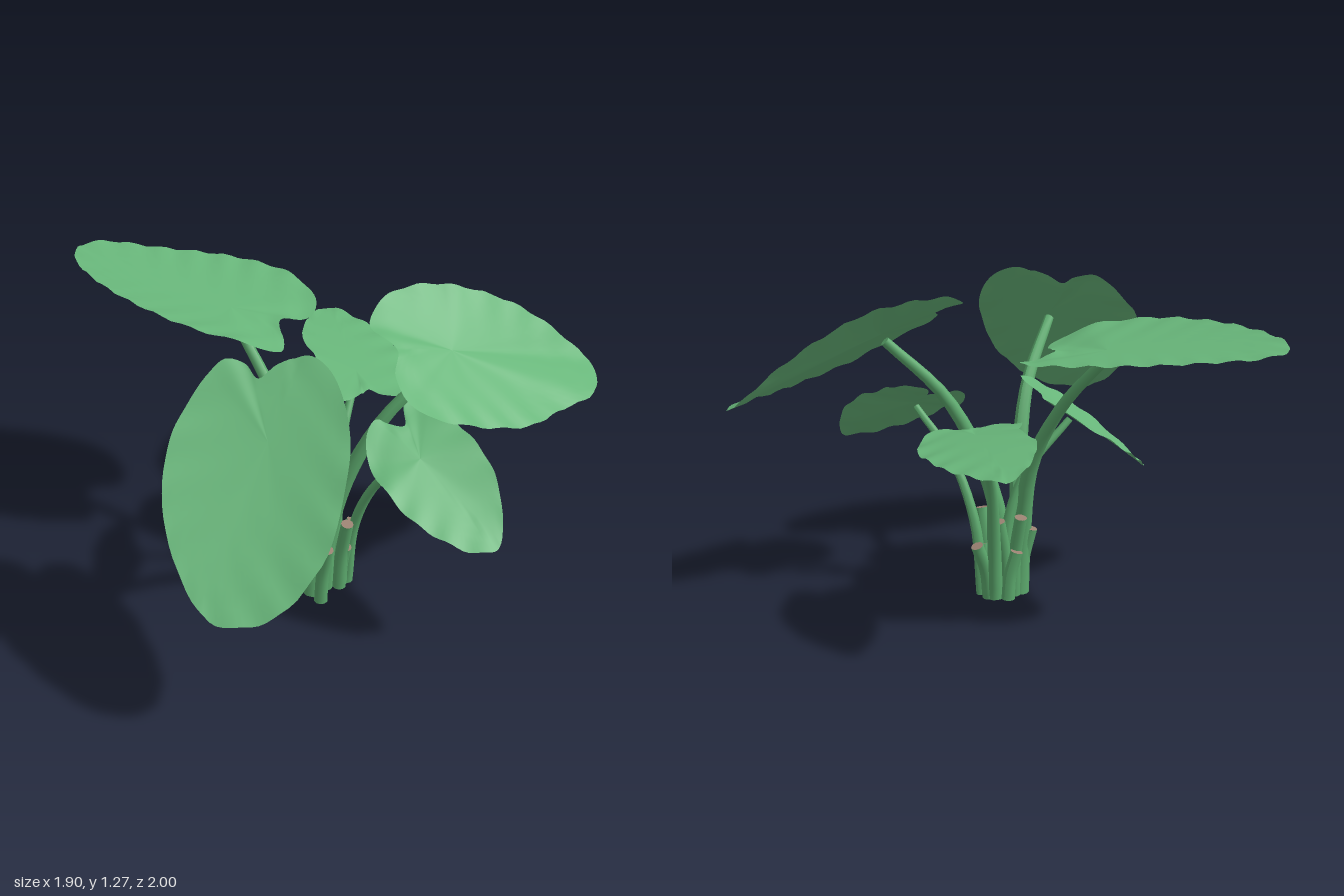
import * as THREE from 'three';

const leafGreen = new THREE.MeshStandardMaterial({ color: 0x68b67a, side: THREE.DoubleSide });
leafGreen.name = 'leaf green';
const stalkGreen = new THREE.MeshStandardMaterial({ color: 0x5ca96d });
stalkGreen.name = 'stalk green';
const cutBrown = new THREE.MeshStandardMaterial({ color: 0x9a8272 });
cutBrown.name = 'cut stem brown';

const V = (p) => new THREE.Vector3(...p);

function addMesh(parent, name, geometry, material) {
  const mesh = new THREE.Mesh(geometry, material);
  mesh.name = name;
  parent.add(mesh);
  return mesh;
}

// Tapered stem along a smooth path, closed by a disc at each end
function addStem(parent, name, points, r0, r1, endMaterial) {
  const curve = new THREE.CatmullRomCurve3(points.map(V));
  const rings = 16, sides = 10;
  const geometry = new THREE.TubeGeometry(curve, rings, 1, sides);
  const pos = geometry.attributes.position;
  const v = new THREE.Vector3();
  for (let i = 0; i <= rings; i++) {
    const c = curve.getPointAt(i / rings);
    const r = THREE.MathUtils.lerp(r0, r1, i / rings);
    for (let j = 0; j <= sides; j++) {
      const k = i * (sides + 1) + j;
      v.fromBufferAttribute(pos, k).sub(c).multiplyScalar(r).add(c);
      pos.setXYZ(k, v.x, Math.max(v.y, 0), v.z);
    }
  }
  geometry.computeVertexNormals();
  const group = new THREE.Group();
  group.name = name;
  parent.add(group);
  addMesh(group, name + 'Tube', geometry, stalkGreen);
  const base = addMesh(group, name + 'Base', new THREE.CircleGeometry(r0, sides), stalkGreen);
  base.position.copy(curve.getPointAt(0));
  base.rotation.x = Math.PI / 2;
  const end = addMesh(group, name + 'End', new THREE.CircleGeometry(r1, sides), endMaterial);
  end.position.copy(curve.getPointAt(1));
  end.lookAt(end.position.clone().add(curve.getTangentAt(1)));
}

// Heart-shaped blade: a plan outline [x, z, optional lift] filled with rings around
// the stalk joint, tilted by slopes along x and z, cupped across the midrib, drooping at the tip
function addLeaf(parent, name, joint, outline, { slope, cup = 0, droop = 0, wave = 0.005 }) {
  const [cx, cy, cz] = joint;
  const far = ([x, z]) => Math.hypot(x - cx, z - cz);
  const tip = outline.reduce((a, b) => (far(b) > far(a) ? b : a));
  const dx = (tip[0] - cx) / far(tip), dz = (tip[1] - cz) / far(tip);
  const rim = new THREE.CatmullRomCurve3(outline.map(([x, z, lift = 0]) => V([x, lift, z])), true);
  const rings = 10, spokes = 96;
  const pos = [], index = [];
  for (let k = 0; k <= rings; k++) {
    const t = k / rings;
    for (let j = 0; j < spokes; j++) {
      const p = rim.getPoint(j / spokes);
      const x = (p.x - cx) * t, z = (p.z - cz) * t;
      const along = x * dx + z * dz, across = x * dz - z * dx;
      const ruffle = wave * t ** 3 * Math.sin(along * 44 - Math.abs(across) * 22 + Math.sign(across));
      const y = cy + slope[0] * x + slope[1] * z + cup * across ** 2
        - droop * Math.max(along, 0) ** 2 + p.y * t ** 1.2 + ruffle;
      pos.push(cx + x, y, cz + z);
      if (k === rings) continue;
      const a = k * spokes + j, b = k * spokes + (j + 1) % spokes;
      if (k > 0) index.push(a, b, a + spokes);
      index.push(b, b + spokes, a + spokes);
    }
  }
  // keep the upper face as the front whichever way the outline runs
  const area = outline.reduce((s, [x, z], i) => {
    const [nx, nz] = outline[(i + 1) % outline.length];
    return s + x * nz - nx * z;
  }, 0);
  if (area > 0) index.reverse();
  const geometry = new THREE.BufferGeometry();
  geometry.setAttribute('position', new THREE.Float32BufferAttribute(pos, 3));
  geometry.setIndex(index);
  geometry.computeVertexNormals();
  addMesh(parent, name, geometry, leafGreen);
}

export function createModel() {
  const plant = new THREE.Group();
  plant.name = 'leafyPlant';

  // Leaf blades
  addLeaf(plant, 'backLeaf', [0.1, 1.085, -0.3], [
    [-0.01, -1], [-0.11, -0.93], [-0.19, -0.74], [-0.22, -0.5], [-0.19, -0.26], [-0.1, -0.08],
    [0.01, 0.015, -0.025], [0.07, -0.01, -0.02], [0.17, -0.11], [0.29, -0.055, -0.01], [0.38, -0.1],
    [0.44, -0.26], [0.41, -0.42], [0.34, -0.58], [0.21, -0.79], [0.09, -0.965],
  ], { slope: [-0.1, -0.09], cup: 0.4 });

  addLeaf(plant, 'frontLeftLeaf', [0.38, 1.085, 0.55], [
    [0.18, 0.31, -0.035], [0.27, 0.28, -0.015], [0.38, 0.295, 0.015], [0.505, 0.36, 0.05],
    [0.61, 0.45, 0.075], [0.77, 0.575, 0.055], [0.875, 0.69, 0.015], [0.945, 0.81, -0.035],
    [0.9, 0.89, -0.015], [0.785, 0.94, 0.005], [0.61, 0.91, -0.01], [0.425, 0.89, -0.01],
    [0.27, 0.82, -0.015], [0.135, 0.745, -0.005], [0.045, 0.665, -0.005], [0.035, 0.585, -0.015],
    [0.08, 0.505, -0.01], [0.175, 0.445, -0.01], [0.165, 0.38, -0.015],
  ], { slope: [-0.02, -0.62] });

  addLeaf(plant, 'rightLeaf', [-0.47, 1.035, 0.35], [
    [-0.685, 0.06, 0.015], [-0.565, 0.04, 0.01], [-0.45, 0.055, 0.01], [-0.385, 0.08, 0.015],
    [-0.35, 0.145], [-0.357, 0.21], [-0.29, 0.25], [-0.215, 0.335], [-0.21, 0.425], [-0.26, 0.53],
    [-0.34, 0.62], [-0.475, 0.69], [-0.605, 0.73], [-0.79, 0.69], [-0.895, 0.6, 0.01],
    [-0.955, 0.48, 0.02], [-0.925, 0.32, 0.03], [-0.82, 0.15, 0.025],
  ], { slope: [0.87, -0.38], cup: 0.2 });

  addLeaf(plant, 'frontLowLeaf', [0.13, 0.745, 0.6], [
    [0.135, 0.385, -0.03], [0.065, 0.395, -0.03], [-0.01, 0.465, -0.03], [-0.055, 0.585], [-0.065, 0.69],
    [-0.04, 0.82], [0.015, 0.94], [0.09, 0.995], [0.175, 0.955, 0.01], [0.265, 0.85, 0.04],
    [0.295, 0.75, 0.05], [0.315, 0.62, 0.03], [0.35, 0.5], [0.33, 0.43, -0.03], [0.26, 0.425, -0.03],
    [0.19, 0.48, -0.02],
  ], { slope: [0.38, -0.5] });

  addLeaf(plant, 'leftLowLeaf', [0.43, 0.775, 0.07], [
    [0.785, -0.325], [0.705, -0.34], [0.585, -0.305], [0.45, -0.22], [0.36, -0.08], [0.255, -0.02, -0.015],
    [0.22, 0.055, -0.025], [0.24, 0.135, -0.025], [0.32, 0.17, -0.015], [0.37, 0.18], [0.38, 0.24],
    [0.425, 0.285], [0.53, 0.255], [0.64, 0.18], [0.705, 0.08], [0.765, -0.05], [0.79, -0.21],
  ], { slope: [-0.1, -0.15], droop: 0.15 });

  addLeaf(plant, 'rightLowLeaf', [-0.16, 0.715, 0.04], [
    [-0.53, -0.01, 0.02], [-0.515, -0.08], [-0.42, -0.14], [-0.315, -0.18], [-0.21, -0.2], [-0.09, -0.17],
    [0.01, -0.1], [0.04, -0.02], [0.02, 0.03], [-0.035, 0.1, 0.01], [-0.06, 0.2, 0.03],
    [-0.115, 0.245, 0.04], [-0.24, 0.26, 0.05], [-0.35, 0.23, 0.06], [-0.43, 0.16, 0.055],
    [-0.48, 0.08, 0.045],
  ], { slope: [0.58, 0.39], droop: 0.2 });

  // Leaf stalks: path from the ground to the joint under each blade
  const stalks = [
    ['backStalk', [[0.03, 0, 0.16], [0.02, 0.25, 0.15], [0.04, 0.55, 0.09], [0.06, 0.82, -0.07], [0.1, 1.065, -0.31]], 0.04, 0.018],
    ['frontLeftStalk', [[0.04, 0, 0.22], [0.05, 0.25, 0.23], [0.1, 0.55, 0.29], [0.2, 0.82, 0.39], [0.37, 1.055, 0.545]], 0.04, 0.02],
    ['rightStalk', [[-0.01, 0, 0.21], [-0.02, 0.28, 0.2], [-0.09, 0.55, 0.24], [-0.22, 0.8, 0.29], [-0.46, 1.01, 0.35]], 0.045, 0.02],
    ['frontLowStalk', [[0.13, 0, 0.27], [0.135, 0.3, 0.3], [0.135, 0.55, 0.41], [0.13, 0.73, 0.59]], 0.025, 0.014],
    ['leftLowStalk', [[0.14, 0, 0.2], [0.17, 0.25, 0.18], [0.26, 0.54, 0.13], [0.43, 0.755, 0.07]], 0.032, 0.014],
    ['rightLowStalk', [[0.09, 0, 0.18], [0.08, 0.28, 0.18], [0.01, 0.5, 0.14], [-0.155, 0.7, 0.04]], 0.028, 0.014],
  ];
  for (const [name, path, r0, r1] of stalks) addStem(plant, name, path, r0, r1, stalkGreen);

  // Cut stubs around the foot: ground point and cut end
  const stubs = [
    [[-0.04, 0, 0.27], [-0.055, 0.28, 0.31]],
    [[0.15, 0, 0.22], [0.215, 0.235, 0.23]],
    [[0.02, 0, 0.16], [0.0, 0.27, 0.12]],
    [[0.07, 0, 0.16], [0.085, 0.34, 0.11]],
    [[0.1, 0, 0.17], [0.15, 0.33, 0.17]],
    [[0.08, 0, 0.27], [0.065, 0.34, 0.315]],
    [[0.1, 0, 0.26], [0.09, 0.2, 0.29]],
    [[0.12, 0, 0.15], [0.1, 0.2, 0.12]],
  ];
  stubs.forEach(([a, b], i) => {
    const mid = [a[0] * 0.75 + b[0] * 0.25, b[1] / 2, a[2] * 0.75 + b[2] * 0.25];
    addStem(plant, 'cutStub' + (i + 1), [a, mid, b], 0.028, 0.025, cutBrown);
  });

  return plant;
}
